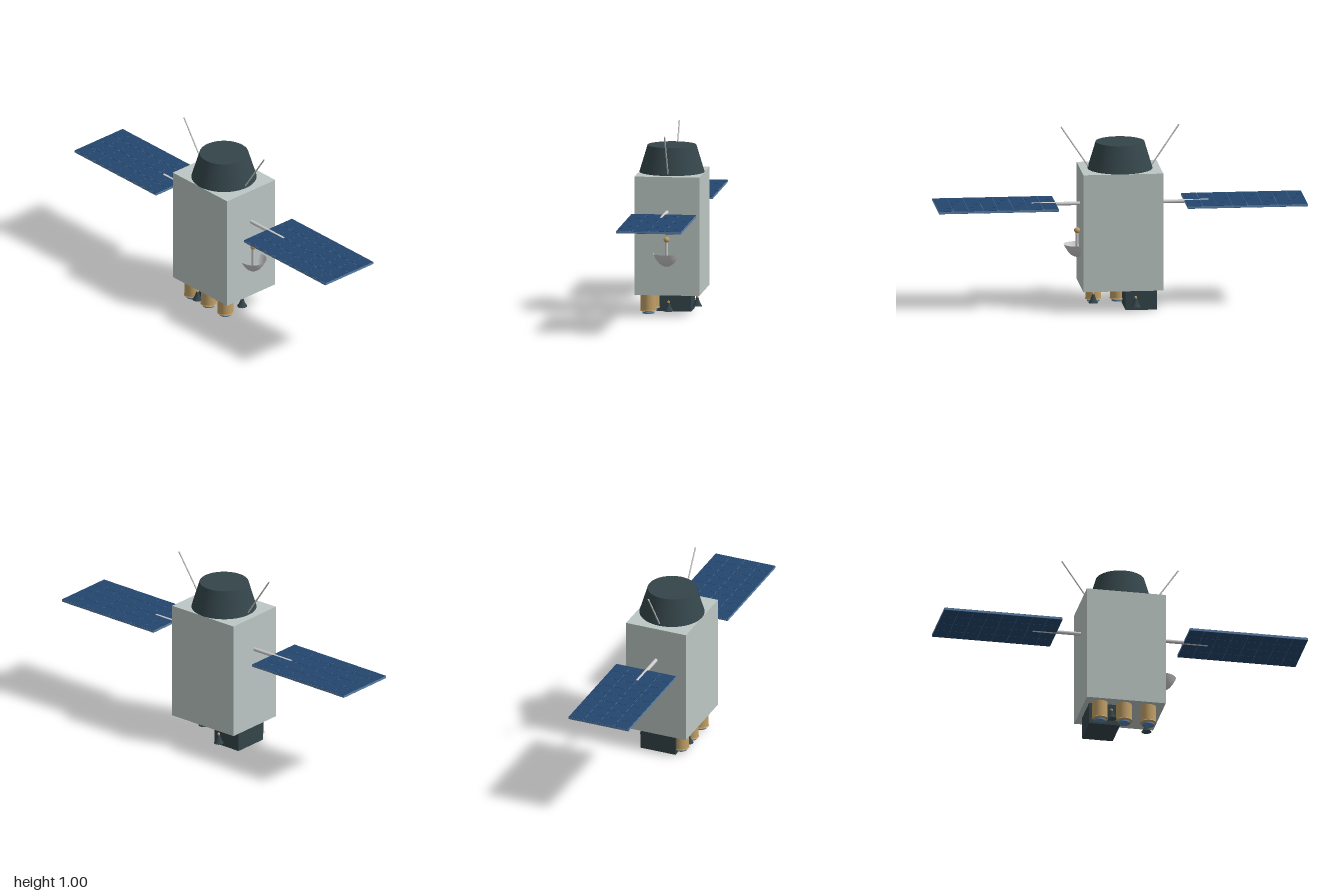
import * as THREE from 'three';

const material = (color, side = THREE.FrontSide) =>
  new THREE.MeshStandardMaterial({ color, side });

export function createModel() {
  const model = new THREE.Group();
  const hull = material(0xbcc7c4);
  const dark = material(0x34454a);
  const metal = material(0xcccccc);
  const gold = material(0xc2a067);
  const frameBlue = material(0x5b80a8);
  const cellBlue = material(0x24466e);
  const dishMetal = material(0xcccccc, THREE.DoubleSide);
  const darkOpen = material(0x34454a, THREE.DoubleSide);

  const add = (parent, name, geometry, mat, x = 0, y = 0, z = 0) => {
    const mesh = new THREE.Mesh(geometry, mat);
    mesh.name = name;
    mesh.position.set(x, y, z);
    parent.add(mesh);
    return mesh;
  };
  const group = (name, x = 0, y = 0, z = 0) => {
    const g = new THREE.Group();
    g.name = name;
    g.position.set(x, y, z);
    model.add(g);
    return g;
  };
  const lathe = (points, segments = 32) =>
    new THREE.LatheGeometry(points.map(([r, y]) => new THREE.Vector2(r, y)), segments);
  // Straight rod between two points
  const rod = (parent, name, a, b, radius, mat) => {
    const from = new THREE.Vector3(...a), to = new THREE.Vector3(...b);
    const mid = from.clone().add(to).multiplyScalar(0.5);
    const mesh = add(parent, name,
      new THREE.CylinderGeometry(radius, radius, from.distanceTo(to), 16), mat, mid.x, mid.y, mid.z);
    mesh.quaternion.setFromUnitVectors(new THREE.Vector3(0, 1, 0), to.sub(from).normalize());
    return mesh;
  };

  // Main body and tapered top
  add(model, 'body', new THREE.BoxGeometry(0.434, 0.645, 0.352), hull, 0, 0.4425, 0);
  add(model, 'dockingCone', new THREE.CylinderGeometry(0.132, 0.176, 0.146, 64), dark, 0, 0.838, 0);

  for (const side of [1, -1]) {
    const label = side > 0 ? 'left' : 'right';
    // Whip antenna
    rod(model, label + 'Antenna', [side * 0.17, 0.775, 0], [side * 0.32, 0.998, 0], 0.004, metal);

    // Solar wing: arm, frame and a grid of cells on both faces
    const wing = group(label + 'SolarWing', 0, 0.574, 0);
    rod(wing, 'wingArm', [side * 0.21, 0, 0], [side * 0.48, 0, 0], 0.01, metal);
    add(wing, 'panelFrame', new THREE.BoxGeometry(0.65, 0.012, 0.352), frameBlue, side * 0.675, 0, 0);
    const cols = 8, rows = 4, w = 0.65 / cols, d = 0.352 / rows;
    const cell = new THREE.BoxGeometry(w - 0.002, 0.014, d - 0.002);
    for (let i = 0; i < cols; i++)
      for (let j = 0; j < rows; j++)
        add(wing, 'solarCell', cell, cellBlue, side * (0.35 + (i + 0.5) * w), 0, (j + 0.5) * d - 0.176);
  }

  // Dish with feed mast, on the left wall
  const dish = group('dishAntenna', 0.233, 0.28, 0);
  const bowl = [];
  for (let i = 0; i <= 14; i++) {
    const t = i / 14;
    bowl.push([0.073 * t, 0.07 * Math.pow(t, 2.2)]);
  }
  add(dish, 'dishBowl', lathe(bowl, 48), dishMetal);
  add(dish, 'feedMast', new THREE.CylinderGeometry(0.008, 0.008, 0.14, 20), metal, 0, 0.072, 0);
  add(dish, 'feedBall', new THREE.SphereGeometry(0.016, 24, 16), gold, 0, 0.146, 0);

  // Equipment box under the body
  add(model, 'equipmentBox', new THREE.BoxGeometry(0.17, 0.12, 0.204), dark, -0.105, 0.06, 0);

  // Row of three canisters along the front edge
  for (const x of [-0.133, 0, 0.133]) {
    const canister = group('canister', x, 0, 0.111);
    add(canister, 'canisterShell', new THREE.CylinderGeometry(0.042, 0.042, 0.095, 36), gold, 0, 0.0725, 0);
    add(canister, 'canisterRim', new THREE.CylinderGeometry(0.042, 0.045, 0.006, 36), gold, 0, 0.027, 0);
    add(canister, 'lensNeck', new THREE.CylinderGeometry(0.022, 0.022, 0.01, 24), dark, 0, 0.021, 0);
    add(canister, 'lensDisc', new THREE.CylinderGeometry(0.033, 0.033, 0.009, 36), frameBlue, 0, 0.0145, 0);
  }

  // Small flared thrusters with gold caps
  const bell = lathe([[0.027, 0.024], [0.019, 0.036], [0.013, 0.05], [0.009, 0.062], [0.007, 0.073]]);
  for (const [x, z] of [[-0.072, 0.128], [-0.072, -0.128], [0.145, 0]]) {
    const thruster = group('thruster', x, 0, z);
    add(thruster, 'thrusterBell', bell, darkOpen);
    add(thruster, 'thrusterCap', new THREE.CylinderGeometry(0.008, 0.008, 0.009, 20), gold, 0, 0.0755, 0);
  }
  return model;
}
